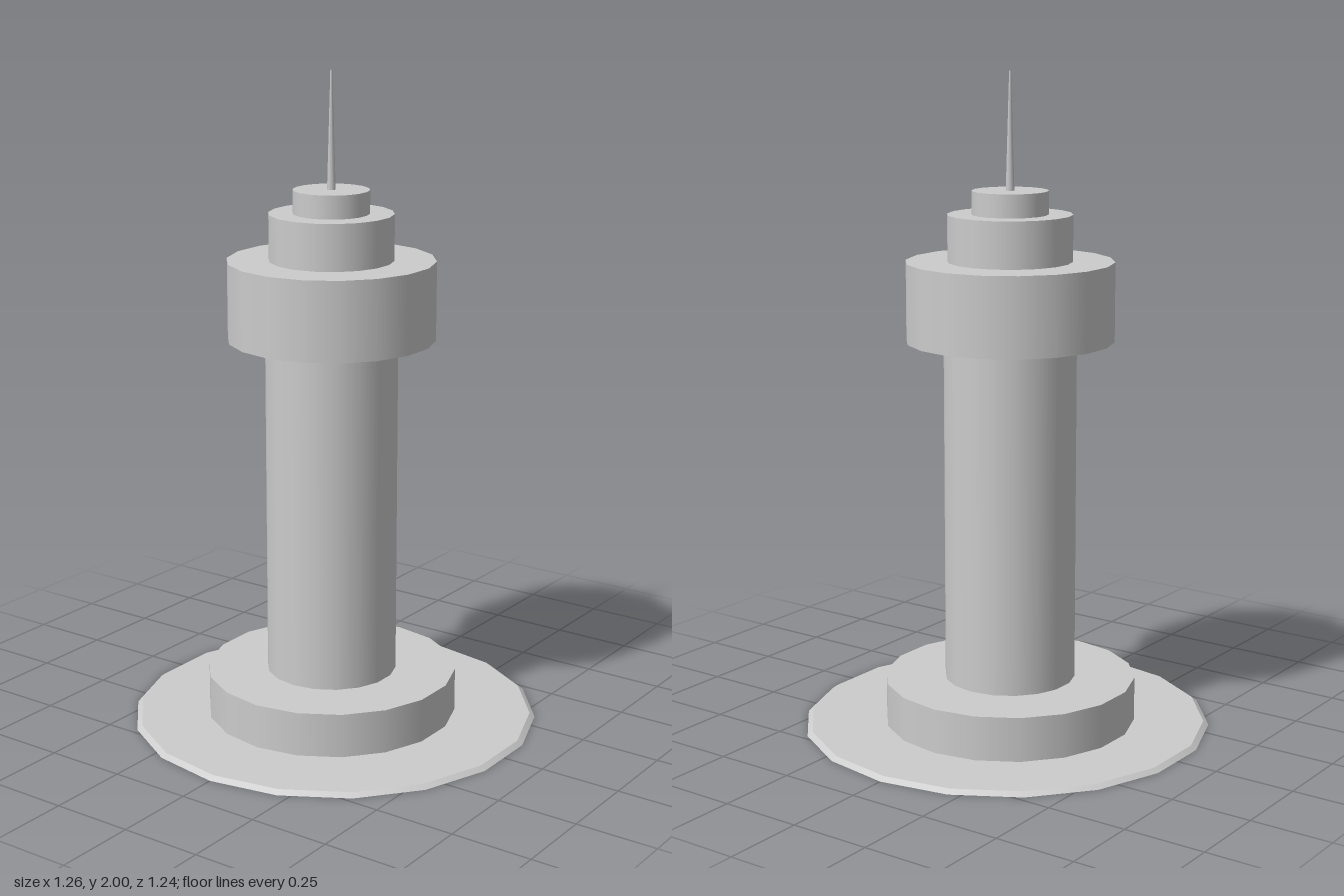
import * as THREE from 'three';

const material = new THREE.MeshStandardMaterial({ color: 0xcccccc });

// Upright drum or cone frustum standing between two heights, with a corner on the x axis
function drum(name, y0, y1, rBottom, rTop, z, sides = 18) {
  const geometry = new THREE.CylinderGeometry(rTop, rBottom, y1 - y0, sides, 1, false, Math.PI / 2);
  const mesh = new THREE.Mesh(geometry, material);
  mesh.name = name;
  mesh.position.set(0, (y0 + y1) / 2, z);
  return mesh;
}

export function createModel() {
  const tower = new THREE.Group();
  tower.name = 'tower';
  const axisZ = -0.012; // the tower stands slightly behind the middle of its plate

  // Thin ground plate with a sloping rim
  tower.add(drum('groundPlate', 0, 0.012, 0.628, 0.612, 0));

  // Stacked drums: name, bottom, top, radius
  const tiers = [
    ['podium', 0.01, 0.148, 0.387],
    ['shaft', 0.148, 1.2, 0.201],
    ['observationDeck', 1.2, 1.44, 0.314],
    ['upperDeck', 1.44, 1.58, 0.188],
    ['roofCap', 1.58, 1.65, 0.115],
  ];
  for (const [name, y0, y1, r] of tiers) tower.add(drum(name, y0, y1, r, r, axisZ));

  // Tapering spire
  tower.add(drum('spire', 1.65, 2, 0.013, 0.003, axisZ, 8));
  return tower;
}
